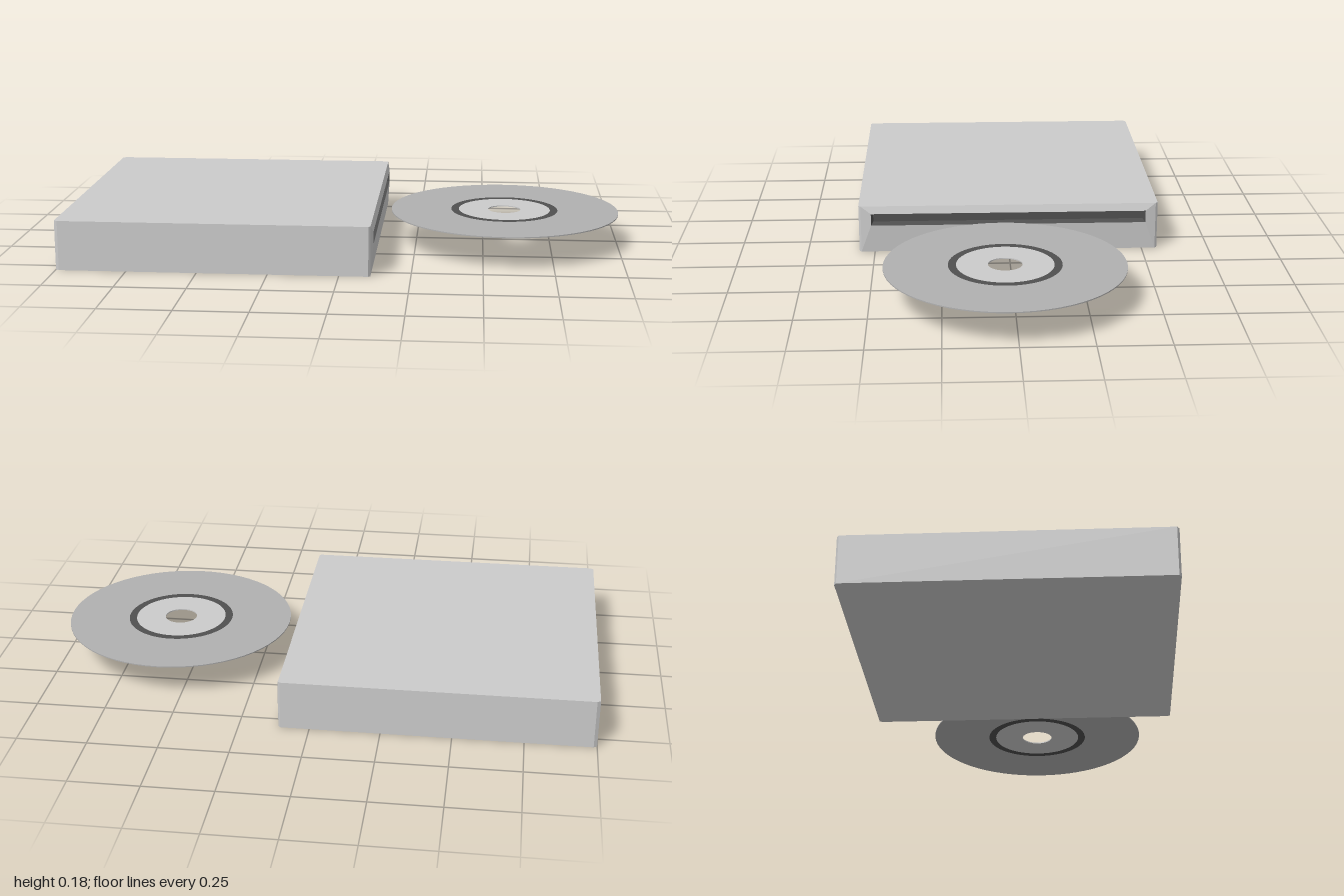
import * as THREE from 'three';

const grey = new THREE.MeshStandardMaterial({ color: 0xcccccc, flatShading: true });
const midGrey = new THREE.MeshStandardMaterial({ color: 0xb0b0b0 });
const darkGrey = new THREE.MeshStandardMaterial({ color: 0x505050, flatShading: true });

// Faceted skin through rectangles [x, y0, y1, halfDepth] set along x
function loft(sections, capStart, capEnd) {
  const rings = sections.map(([x, y0, y1, w]) => [[x, y0, w], [x, y0, -w], [x, y1, -w], [x, y1, w]]);
  const pos = [];
  const quad = (a, b, c, d) => pos.push(...a, ...b, ...c, ...a, ...c, ...d);
  for (let i = 0; i < rings.length - 1; i++) {
    const a = rings[i], b = rings[i + 1];
    for (let j = 0; j < 4; j++) {
      const k = (j + 1) % 4;
      quad(a[j], a[k], b[k], b[j]);
    }
  }
  const first = rings[0], last = rings[rings.length - 1];
  if (capStart) quad(first[3], first[2], first[1], first[0]);
  if (capEnd) quad(...last);
  const geometry = new THREE.BufferGeometry();
  geometry.setAttribute('position', new THREE.Float32BufferAttribute(pos, 3));
  geometry.computeVertexNormals();
  return geometry;
}

// Thin flat annulus with top, bottom and edges
function annulus(name, inner, outer, material) {
  const h = 0.002;
  const profile = [[inner, -h], [outer, -h], [outer, h], [inner, h], [inner, -h]];
  const pos = profile.map(([r, y]) => new THREE.Vector2(r, y));
  // Each side is its own lathe so that the rims stay sharp
  const group = new THREE.Group();
  group.name = name;
  for (let i = 0; i < 4; i++) {
    const side = new THREE.Mesh(new THREE.LatheGeometry([pos[i], pos[i + 1]], 64), material);
    side.name = ['underside', 'outerEdge', 'topSide', 'innerEdge'][i];
    group.add(side);
  }
  return group;
}

export function createModel() {
  const model = new THREE.Group();
  model.name = 'discDrive';
  const add = (name, geometry, material) => {
    const mesh = new THREE.Mesh(geometry, material);
    mesh.name = name;
    model.add(mesh);
  };

  // Case with bevelled corners and a sloping bezel round the slot
  add('case', loft([
    [-1, 0, 0.178, 0.55],
    [-0.988, 0, 0.178, 0.558],
    [0.103, 0, 0.178, 0.558],
    [0.11, 0, 0.178, 0.55],
    [0.118, 0.105, 0.15, 0.512],
  ], true, false), grey);

  // Dark recess of the loading slot
  add('slot', loft([
    [0.118, 0.105, 0.15, 0.512],
    [0.08, 0.108, 0.147, 0.505],
  ], false, true), darkGrey);

  // Disc in front of the slot: hub area, dark band, recording area
  const disc = new THREE.Group();
  disc.name = 'disc';
  disc.position.set(0.578, 0.122, 0.03);
  disc.add(
    annulus('discHub', 0.06, 0.17, grey),
    annulus('discBand', 0.17, 0.198, darkGrey),
    annulus('discSurface', 0.198, 0.422, midGrey),
  );
  model.add(disc);
  return model;
}
